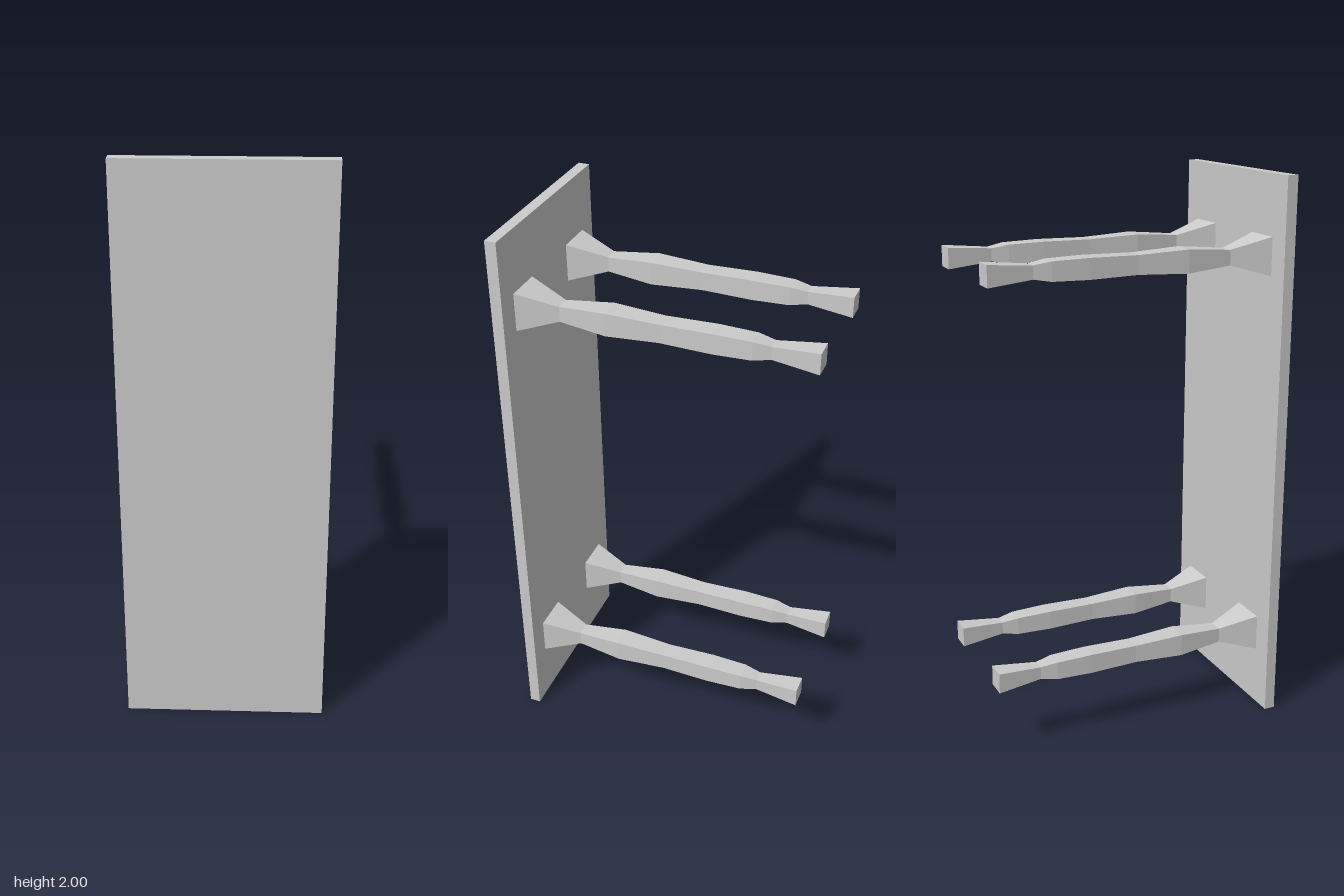
import * as THREE from 'three';

// Turned square leg: [z along the leg, half width], from foot to table top
const LEG_PROFILE = [
  [-0.533, 0.037], [-0.372, 0.023], [-0.312, 0.033], [-0.18, 0.036],
  [0, 0.033], [0.185, 0.041], [0.352, 0.027], [0.493, 0.068],
];

function legGeometry() {
  const points = LEG_PROFILE.map(([z, half]) => new THREE.Vector2(half * Math.SQRT2, z));
  // close both ends
  points.unshift(new THREE.Vector2(0, points[0].y));
  points.push(new THREE.Vector2(0, points[points.length - 1].y));
  const lathe = new THREE.LatheGeometry(points, 4, Math.PI / 4);
  lathe.rotateX(Math.PI / 2); // length runs along z
  const geometry = lathe.toNonIndexed();
  geometry.computeVertexNormals();
  return geometry;
}

export function createModel() {
  const model = new THREE.Group();
  model.name = 'table';
  const material = new THREE.MeshStandardMaterial({ color: 0xcccccc, flatShading: true });

  // Table top, standing on its short edge
  const top = new THREE.Mesh(new THREE.BoxGeometry(0.694, 2, 0.04), material);
  top.name = 'tableTop';
  top.position.set(0, 1, 0.513);
  model.add(top);

  // Four legs pointing backwards
  const geometry = legGeometry();
  for (const [row, y] of [['lower', 0.286], ['upper', 1.718]]) {
    for (const [side, x] of [['Left', 0.198], ['Right', -0.198]]) {
      const leg = new THREE.Mesh(geometry, material);
      leg.name = `${row}${side}Leg`;
      leg.position.set(x, y, 0);
      model.add(leg);
    }
  }
  return model;
}
